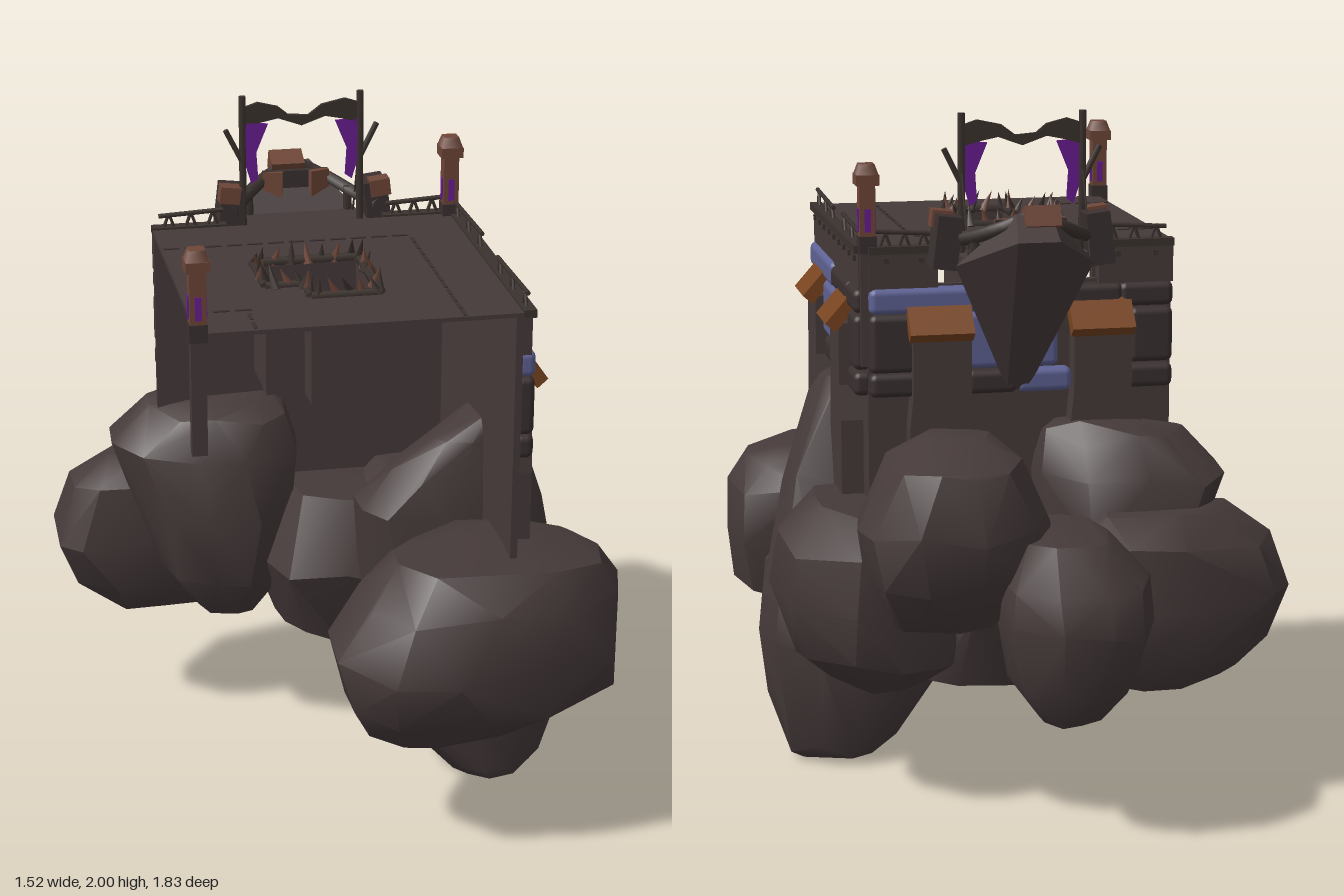
import * as THREE from 'three';
import { toCreasedNormals } from 'three/addons/utils/BufferGeometryUtils.js';
import { RoundedBoxGeometry } from 'three/addons/geometries/RoundedBoxGeometry.js';
import { ConvexGeometry } from 'three/addons/geometries/ConvexGeometry.js';

const mat = (name, color) => new THREE.MeshStandardMaterial({ name, color });
const M = {
  rock: mat('brown rock', 0x463a3a), stone: mat('dark stone', 0x3a3030), blue: mat('blue stone', 0x5e6294),
  orange: mat('orange wood', 0x78441f), rust: mat('rusty wood', 0x6e4638), wood: mat('dark wood', 0x3b322e),
  purple: mat('purple cloth', 0x6a1c92),
};
M.purple.side = THREE.DoubleSide;

function add(parent, name, geo, material, x = 0, y = 0, z = 0, rx = 0, ry = 0, rz = 0) {
  const m = new THREE.Mesh(geo, material);
  m.name = name;
  m.position.set(x, y, z);
  m.rotation.set(rx, ry, rz);
  parent.add(m);
  return m;
}
const box = (w, h, d) => new THREE.BoxGeometry(w, h, d);
const V = (x, y, z) => new THREE.Vector3(x, y, z);

// Round bar between two points
function bar(parent, name, a, b, r, material) {
  const dir = b.clone().sub(a);
  const m = add(parent, name, new THREE.CylinderGeometry(r, r, dir.length(), 6), material);
  m.position.copy(a).add(b).multiplyScalar(0.5);
  m.quaternion.setFromUnitVectors(V(0, 1, 0), dir.normalize());
}

// Flat outline from [u, v] pairs
const points = pts => pts.map(p => new THREE.Vector2(p[0], p[1]));
const outline = pts => new THREE.Shape(points(pts));
const extrude = (shape, depth) => new THREE.ExtrudeGeometry(shape, { depth, bevelEnabled: false });

function seeded(seed) {
  return () => (seed = (seed * 16807) % 2147483647) / 2147483647;
}

// Boulder: hull of boxy rings, each [y, x0, x1, z0, z1]; skew slides z along x
function boulder({ rings, skew = 0 }, seed) {
  const rnd = seeded(seed * 7919 + 13), pts = [], n = 11, e = 2.6;
  rings.forEach(([y, x0, x1, z0, z1], j) => {
    const wobble = j === 0 || j === rings.length - 1 ? 0.03 : 0.05, up = j === 0 ? 1 : j === rings.length - 1 ? -1 : 0;
    for (let i = 0; i < n; i++) {
      const a = (i + (rnd() - 0.5) * 0.4) * 2 * Math.PI / n, c = Math.cos(a), s = Math.sin(a);
      const k = Math.pow(Math.abs(c) ** e + Math.abs(s) ** e, -1 / e) * (0.98 + rnd() * 0.04);
      const dx = c * k * (x1 - x0) / 2, dy = up ? up * rnd() * wobble : (rnd() - 0.5) * wobble;
      pts.push(V((x0 + x1) / 2 + dx, y + dy, (z0 + z1) / 2 + s * k * (z1 - z0) / 2 + dx * skew));
    }
  });
  return toCreasedNormals(new ConvexGeometry(pts), 0.6);
}

const BOULDERS = {
  frontBoulder: { skew: -0.08, rings: [[0.345, 0.02, 0.5, 0.42, 0.74], [0.46, -0.05, 0.74, 0.36, 0.87], [0.62, -0.09, 0.76, 0.31, 0.905], [0.78, 0, 0.75, 0.31, 0.87], [0.87, 0.1, 0.7, 0.38, 0.8], [0.91, 0.25, 0.6, 0.45, 0.6]] },
  lowBoulder: { rings: [[0, 0.36, 0.6, 0.06, 0.36], [0.05, 0.3, 0.64, 0.02, 0.37], [0.22, 0.17, 0.69, 0, 0.39], [0.38, 0.15, 0.71, -0.04, 0.4], [0.63, 0.2, 0.69, 0.05, 0.36]] },
  tallBoulder: { rings: [[0.5, 0.1, 0.7, -0.03, 0.37], [0.88, 0.07, 0.63, 0.04, 0.38], [1, 0.16, 0.57, 0.1, 0.37], [1.09, 0.28, 0.54, 0.13, 0.36], [1.19, 0.42, 0.5, 0.14, 0.34]] },
  sideBoulder: { rings: [[0.345, 0.25, 0.55, -0.35, 0], [0.45, 0.15, 0.65, -0.46, 0.1], [0.62, 0.1, 0.71, -0.49, 0.22], [0.78, 0.12, 0.69, -0.48, 0.2], [0.885, 0.2, 0.58, -0.35, 0.12]] },
  highBackBoulder: { rings: [[0.58, 0.1, 0.4, -0.62, -0.32], [0.74, -0.01, 0.49, -0.74, -0.26], [0.9, -0.02, 0.51, -0.77, -0.22], [1.05, 0.05, 0.43, -0.72, -0.23], [1.125, 0.12, 0.33, -0.55, -0.35]] },
  backBoulder: { rings: [[0.335, -0.15, 0.03, -0.78, -0.5], [0.45, -0.24, 0.1, -0.86, -0.4], [0.63, -0.29, 0.14, -0.915, -0.4], [0.75, -0.28, 0.14, -0.89, -0.4], [0.885, -0.18, 0.08, -0.8, -0.45]] },
  rightBoulder: { skew: -0.12, rings: [[0.365, -0.62, -0.15, -0.55, -0.25], [0.47, -0.71, -0.08, -0.6, -0.2], [0.62, -0.77, -0.07, -0.62, -0.18], [0.78, -0.71, -0.08, -0.6, -0.2], [0.875, -0.6, -0.2, -0.5, -0.28]] },
  uprightBoulder: { skew: 0.15, rings: [[0.385, -0.35, -0.18, -0.3, -0.1], [0.55, -0.47, -0.1, -0.4, 0], [0.75, -0.52, -0.06, -0.45, 0.02], [0.95, -0.6, -0.04, -0.43, 0], [1.06, -0.48, -0.07, -0.36, -0.05], [1.11, -0.35, -0.12, -0.3, -0.12]] },
  coreBoulder: { rings: [[0.345, -0.1, 0.3, -0.4, 0.05], [0.6, -0.2, 0.35, -0.5, 0.15], [0.83, -0.1, 0.3, -0.4, 0.05]] },
};

// One masonry wall: u runs left to right seen from outside, +z is outward
function makeWall(name, bands, rails) {
  const w = new THREE.Group();
  w.name = name;
  add(w, 'wallPanel', box(0.89, 0.71, 0.02), M.rock, 0.445, 1.155, -0.01);
  // Parapet stretches with ledge and rivets
  for (const [a, b] of bands) {
    add(w, 'wallBand', box(b - a, 0.11, 0.045), M.rock, (a + b) / 2, 1.553, 0.0025);
    add(w, 'wallLedge', box(b - a, 0.022, 0.037), M.wood, (a + b) / 2, 1.615, 0.0185);
    const n = Math.round((b - a) / 0.1);
    for (let i = 0; i < n; i++) add(w, 'rivet', box(0.016, 0.016, 0.01), M.wood, a + (i + 0.5) * (b - a) / n, 1.585, 0.028);
  }
  // Rounded blocks: u start, u end, y bottom, y top, blue or dark
  const blocks = [
    [0, 0.43, 1.43, 1.505, 1], [0.44, 0.74, 1.435, 1.5, 0], [0.73, 0.89, 1.43, 1.5, 0],
    [0, 0.14, 1.26, 1.43, 0], [0.27, 0.55, 1.265, 1.43, 1], [0.76, 0.89, 1.265, 1.425, 0],
    [0, 0.14, 1.19, 1.26, 0], [0.28, 0.43, 1.19, 1.26, 0], [0.43, 0.59, 1.19, 1.26, 1], [0.75, 0.89, 1.19, 1.26, 0],
  ];
  for (const [a, b, y0, y1, blue] of blocks)
    add(w, 'wallBlock', new RoundedBoxGeometry(b - a, y1 - y0, 0.055, 2, 0.02), blue ? M.blue : M.stone, (a + b) / 2, (y0 + y1) / 2, 0.013);
  // Buttresses with sloped wooden caps
  const side = outline([[0.11, 0.8], [0.32, 0.8], [0.32, 1.1], [0.29, 1.2], [0.29, 1.38], [0.12, 1.38], [0.12, 1.2], [0.11, 1.1]]);
  for (const u of [0, 0.47]) {
    add(w, 'buttress', extrude(side, 0.065), M.rock, u);
    add(w, 'buttressCap', box(0.185, 0.04, 0.11), M.orange, u + 0.2, 1.41, 0.052, 0.85);
  }
  // Railings on crossed braces
  for (const [a, b] of rails) {
    bar(w, 'rail', V(a, 1.668, 0.015), V(b, 1.658, 0.015), 0.007, M.wood);
    for (let i = 0; i < 3; i++) {
      const u = a + 0.03 + i * (b - a - 0.06) / 2;
      for (const s of [-1, 1]) bar(w, 'railBrace', V(u + s * 0.018, 1.615, 0.015), V(u, 1.665, 0.015), 0.005, M.wood);
    }
  }
  return w;
}

// Corner post with cap and cloth band
function makePost(x, z) {
  const p = new THREE.Group();
  p.name = 'cornerPost';
  p.position.set(x, 0, z);
  add(p, 'postFoot', box(0.042, 0.34, 0.035), M.rock, 0, 1.45, 0);
  add(p, 'postShaft', box(0.045, 0.2, 0.045), M.rust, 0, 1.71, 0);
  add(p, 'postBand', box(0.05, 0.05, 0.05), M.stone, 0, 1.63, 0);
  for (let i = 0; i < 4; i++) {
    const a = i * Math.PI / 2;
    add(p, 'postCloth', box(0.018, 0.065, 0.004), M.purple, Math.sin(a) * 0.024, 1.7, Math.cos(a) * 0.024, 0, a);
  }
  add(p, 'postCap', box(0.066, 0.03, 0.066), M.rust, 0, 1.815, 0);
  add(p, 'postTop', new THREE.CylinderGeometry(0.03, 0.044, 0.03, 4), M.rust, 0, 1.845, 0, 0, Math.PI / 4);
  return p;
}

export function createModel() {
  const model = new THREE.Group();
  model.name = 'rockFort';
  Object.entries(BOULDERS).forEach(([name, spec], i) => add(model, name, boulder(spec, i + 1), M.rock));

  // Walls on the left side and the back, the back one open at the balcony
  const side = makeWall('sideWall', [[0, 0.89]], [[0.02, 0.36], [0.54, 0.88]]);
  const back = makeWall('backWall', [[0, 0.2], [0.67, 0.89]], [[0.02, 0.19], [0.68, 0.87]]);
  side.position.set(0.43, 0, 0.69);
  side.rotation.y = Math.PI / 2;
  back.position.set(0.43, 0, -0.2);
  back.rotation.y = Math.PI;
  model.add(side, back, makePost(-0.46, 0.695), makePost(0.43, -0.2));

  // Deck with an L-shaped pit; outlines use v = -z
  const pit = [[-0.22, -0.15], [-0.22, -0.355], [-0.11, -0.355], [-0.11, -0.46], [0.085, -0.46], [0.085, -0.15]];
  const inner = [[-0.21, -0.16], [-0.21, -0.345], [-0.1, -0.345], [-0.1, -0.45], [0.075, -0.45], [0.075, -0.16]];
  const deck = outline([[-0.46, -0.69], [0.43, -0.69], [0.43, 0.2], [-0.46, 0.2]]);
  deck.holes.push(new THREE.Path(points(pit)));
  add(model, 'deck', extrude(deck, 0.012), M.rock, 0, 1.608, 0, -Math.PI / 2);
  const shell = outline(pit);
  shell.holes.push(new THREE.Path(points(inner)));
  add(model, 'pitWall', extrude(shell, 0.31), M.rock, 0, 1.305, 0, -Math.PI / 2);
  add(model, 'pitFloor', extrude(outline(pit), 0.01), M.rock, 0, 1.3, 0, -Math.PI / 2);

  // Pit rim and leaning stakes
  const rnd = seeded(4242);
  pit.forEach((a, i) => {
    const b = pit[(i + 1) % pit.length], len = Math.hypot(b[0] - a[0], b[1] - a[1]);
    bar(model, 'pitRim', V(a[0], 1.622, -a[1]), V(b[0], 1.622, -b[1]), 0.014, M.wood);
    const n = Math.round(len / 0.042);
    for (let k = 0; k < n; k++) {
      const t = (k + 0.5) / n, h = 0.055 + rnd() * 0.025;
      add(model, 'stake', new THREE.ConeGeometry(0.015, h, 5), k % 2 ? M.rust : M.wood,
        a[0] + (b[0] - a[0]) * t, 1.612 + h / 2, -(a[1] + (b[1] - a[1]) * t), rnd() - 0.5, 0, rnd() - 0.5);
    }
  });

  // Dashed seams on the deck
  const seam = (x0, z0, x1, z1) => {
    const len = Math.hypot(x1 - x0, z1 - z0), n = Math.round(len / 0.06), ry = x0 === x1 ? Math.PI / 2 : 0;
    for (let i = 0; i < n; i++) {
      const t = (i + 0.5) / n;
      add(model, 'deckSeam', box(0.045, 0.004, 0.01), M.stone, x0 + (x1 - x0) * t, 1.621, z0 + (z1 - z0) * t, 0, ry);
    }
  };
  seam(-0.46, -0.02, 0.27, -0.02);
  seam(0.27, 0, 0.27, 0.69);
  seam(-0.46, 0.53, -0.28, 0.53);
  seam(-0.3, 0.55, -0.3, 0.69);

  // Rear balcony: floor, wedge-shaped prow, rail and blocks
  const floor = outline([[-0.24, 0.2], [0.24, 0.2], [0.18, 0.32], [0.1, 0.42], [-0.1, 0.42], [-0.18, 0.32]]);
  add(model, 'balconyFloor', extrude(floor, 0.025), M.rock, 0, 1.58, 0, -Math.PI / 2);
  const prow = [];
  for (const s of [-1, 1])
    prow.push(V(s * 0.03, 1.2, -0.23), V(s * 0.08, 1.38, -0.23), V(s * 0.2, 1.58, -0.33), V(s * 0.06, 1.67, -0.52), V(s * 0.05, 1.74, -0.44));
  add(model, 'prow', new ConvexGeometry(prow), M.rock);
  add(model, 'prowHead', box(0.1, 0.06, 0.07), M.rust, -0.02, 1.725, -0.445, 0.4);
  const arc = new THREE.CatmullRomCurve3([V(-0.22, 1.65, -0.23), V(-0.17, 1.66, -0.33), V(-0.08, 1.7, -0.42), V(0, 1.73, -0.43), V(0.08, 1.7, -0.42), V(0.17, 1.66, -0.33), V(0.22, 1.65, -0.23)]);
  add(model, 'balconyRail', new THREE.TubeGeometry(arc, 24, 0.02, 6), M.wood);
  add(model, 'balconyScreen', box(0.2, 0.12, 0.02), M.stone, 0, 1.66, -0.4);
  for (const s of [-1, 1]) {
    add(model, 'balconyBlock', box(0.07, 0.15, 0.1), M.stone, s * 0.22, 1.645, -0.28, 0, 0, s * 0.12);
    add(model, 'balconyBlockCap', box(0.06, 0.05, 0.05), M.rust, s * 0.225, 1.705, -0.245, 0, 0, s * 0.12);
    add(model, 'balconyPanel', box(0.06, 0.12, 0.02), M.rust, s * 0.07, 1.66, -0.39, 0, s * 0.3);
    bar(model, 'balconyPost', V(s * 0.15, 1.59, -0.35), V(s * 0.15, 1.68, -0.35), 0.014, M.wood);
  }

  // Gate frame with drape and tied curtains
  const gate = new THREE.Group();
  gate.name = 'gate';
  gate.position.set(-0.01, 0, -0.24);
  model.add(gate);
  for (const s of [-1, 1]) {
    bar(gate, 'gatePole', V(s * 0.175, 1.57, 0), V(s * 0.175, 2, 0), 0.011, M.wood);
    bar(gate, 'poleBranch', V(s * 0.175, 1.8, 0), V(s * 0.225, 1.9, 0), 0.009, M.wood);
    bar(gate, 'gateRope', V(s * 0.175, 1.85, 0), V(s * 0.175, 1.6, -0.1), 0.003, M.wood);
    const cloth = outline([[0.1, 1.915], [0.165, 1.92], [0.17, 1.8], [0.15, 1.735], [0.13, 1.75], [0.135, 1.83]].map(([x, y]) => [s * x, y]));
    add(gate, 'curtain', extrude(cloth, 0.006), M.purple);
  }
  const drape = outline([[-0.175, 1.965], [-0.13, 1.98], [-0.07, 1.965], [-0.04, 1.94], [0.02, 1.935], [0.06, 1.965], [0.13, 1.98], [0.175, 1.965],
    [0.175, 1.905], [0.12, 1.92], [0.07, 1.93], [0, 1.905], [-0.07, 1.93], [-0.12, 1.92], [-0.175, 1.905]]);
  add(gate, 'drape', extrude(drape, 0.012), M.wood, 0, 0, -0.006);

  return model;
}
